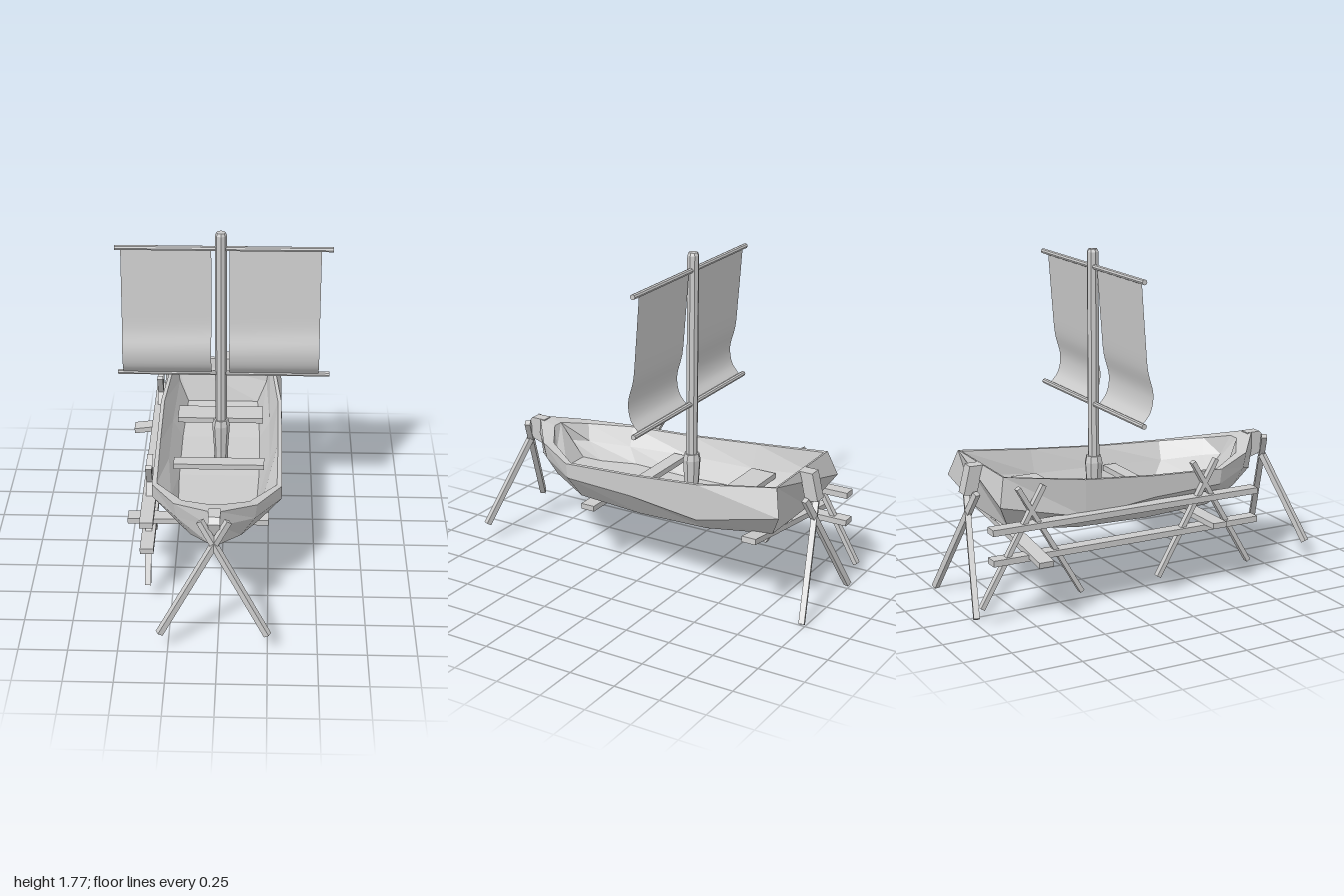
import * as THREE from 'three';

const CX = -0.02; // centre line of the boat

export function createModel() {
  const model = new THREE.Group();
  const mat = new THREE.MeshStandardMaterial({ color: 0xcccccc, flatShading: true, side: THREE.DoubleSide });
  const smooth = new THREE.MeshStandardMaterial({ color: 0xcccccc, side: THREE.DoubleSide });

  const add = (name, geometry, x = 0, y = 0, z = 0, material = mat) => {
    const mesh = new THREE.Mesh(geometry, material);
    mesh.name = name;
    mesh.position.set(x, y, z);
    model.add(mesh);
    return mesh;
  };

  // Square timber running between two points
  const bar = (name, from, to, w, h = w) => {
    const a = new THREE.Vector3(...from), b = new THREE.Vector3(...to);
    const mid = a.clone().add(b).multiplyScalar(0.5);
    const mesh = add(name, new THREE.BoxGeometry(w, h, a.distanceTo(b)), mid.x, mid.y, mid.z);
    mesh.lookAt(b);
    return mesh;
  };

  // Hull stations, stern to bow: half width, y, z of the
  // outer rim, chine, bottom, then inner rim, inner chine, floor
  const stations = [
    [[.285, .735, -.83], [.335, .595, -.87], [.20, .44, -.77], [.27, .73, -.815], [.25, .60, -.79], [.20, .49, -.75]],
    [[.335, .675, -.40], [.335, .48, -.40], [.23, .395, -.40], [.315, .675, -.40], [.27, .55, -.40], [.215, .45, -.40]],
    [[.335, .64, 0], [.335, .525, 0], [.23, .385, 0], [.315, .64, 0], [.27, .54, 0], [.215, .44, 0]],
    [[.335, .62, .40], [.335, .54, .39], [.22, .40, .38], [.31, .62, .385], [.24, .53, .36], [.205, .45, .30]],
    [[.21, .65, .63], [.20, .565, .62], [.13, .45, .60], [.17, .645, .59], [.13, .56, .56], [.125, .46, .48]],
    [[.025, .70, .78], [.025, .62, .785], [.025, .50, .765], [.03, .68, .68], [.07, .57, .64], [.08, .48, .57]],
  ];
  const positions = [], index = [], N = 12;
  for (const [rim, chine, bottom, inRim, inChine, floor] of stations) {
    const left = [rim, chine, bottom], right = [bottom, chine, rim];
    const inRight = [inRim, inChine, floor], inLeft = [floor, inChine, inRim];
    const put = (list, s) => list.forEach(([x, y, z]) => positions.push(CX + s * x, y, z));
    put(left, 1); put(right, -1); put(inRight, -1); put(inLeft, 1);
  }
  for (let i = 0; i < stations.length - 1; i++) {
    for (let j = 0; j < N; j++) {
      const a = i * N + j, b = i * N + (j + 1) % N;
      index.push(a, a + N, b, b, a + N, b + N);
    }
  }
  // Transom and bow: outer face, inner face and the rim between them
  const cap = (base, flip) => {
    const tri = (a, b, c) => flip ? index.push(base + a, base + c, base + b) : index.push(base + a, base + b, base + c);
    for (const s of [0, 6]) for (let k = 1; k < 5; k++) tri(s, s + k, s + k + 1);
    tri(0, 5, 6);
    tri(0, 6, 11);
  };
  cap(0, false);
  cap((stations.length - 1) * N, true);
  const hull = new THREE.BufferGeometry();
  hull.setAttribute('position', new THREE.Float32BufferAttribute(positions, 3));
  hull.setIndex(index);
  const hullFlat = hull.toNonIndexed();
  hullFlat.computeVertexNormals();
  add('hull', hullFlat);

  // Keel strip following the bottom
  const keelSide = new THREE.Shape([[-.77, .43], [-.4, .38], [0, .372], [.38, .385], [.6, .435], [.77, .50],
    [.6, .47], [.38, .42], [0, .41], [-.4, .42]].map(([z, y]) => new THREE.Vector2(-z, y)));
  const keel = new THREE.ExtrudeGeometry(keelSide, { depth: 0.05, bevelEnabled: false });
  keel.rotateY(Math.PI / 2);
  add('keel', keel, CX - 0.025);

  // Posts at bow and stern
  const post = (name, points, width) => {
    const shape = new THREE.Shape(points.map(([z, y]) => new THREE.Vector2(-z, y)));
    const g = new THREE.ExtrudeGeometry(shape, { depth: width, bevelEnabled: false });
    g.rotateY(Math.PI / 2);
    add(name, g, CX - width / 2);
  };
  post('bowPost', [[.75, .70], [.83, .70], [.855, .67], [.83, .58], [.77, .56]], 0.06);
  post('sternPost', [[-.83, .735], [-.90, .735], [-.935, .59], [-.865, .58]], 0.07);

  // Benches
  add('rearBench', new THREE.BoxGeometry(0.475, 0.03, 0.14), CX - 0.005, 0.55, -0.48);
  add('frontBench', new THREE.BoxGeometry(0.485, 0.03, 0.075), CX, 0.535, 0.037);

  // Mast with a chamfered head and a flared collar at its foot
  const mast = [[0, .44], [.036, .44], [.038, .5], [.048, .655], [.04, .69], [.031, .69], [.031, 1.765], [.024, 1.78], [0, 1.78]];
  add('mast', new THREE.LatheGeometry(mast.map(p => new THREE.Vector2(...p)), 8), -0.015, 0, -0.18);

  // Yards
  for (const [name, y] of [['upperYard', 1.69], ['lowerYard', 0.97]]) {
    add(name, new THREE.CylinderGeometry(0.014, 0.014, 1.13, 8).rotateZ(Math.PI / 2), 0, y, -0.182);
  }

  // Sails: a billowing curve swept across each side
  const belly = new THREE.CatmullRomCurve3([[1.69, -.182], [1.4, -.16], [1.24, -.145], [1.12, -.115], [1.03, -.13], [.97, -.178]]
    .map(([y, z]) => new THREE.Vector3(0, y, z)));
  for (const [name, x0, x1] of [['rightSail', -.535, -.065], ['leftSail', .03, .505]]) {
    const g = new THREE.PlaneGeometry(x1 - x0, 1, 1, 20);
    const p = g.attributes.position;
    for (let i = 0; i < p.count; i++) {
      const q = belly.getPoint(0.5 - p.getY(i));
      p.setXYZ(i, p.getX(i) + (x0 + x1) / 2, q.y, q.z);
    }
    g.computeVertexNormals();
    add(name, g, 0, 0, 0, smooth);
  }

  // Crossed legs under bow and stern
  for (const s of [1, -1]) {
    bar('bowLeg', [CX + s * 0.27, 0.11, 0.985], [CX - s * 0.07, 0.68, 0.835], 0.03);
    bar('sternLeg', [CX + s * 0.27, 0.015, -0.982], [CX - s * 0.07, 0.60, -0.882], 0.03);
  }

  // Trestles beside the hull, with two long rails
  for (const z of [0.28, -0.715]) {
    for (const s of [1, -1]) {
      bar('trestleLeg', [-0.375, 0.10, z + s * 0.275], [-0.375, 0.69, z - s * 0.07], 0.032, 0.024);
    }
  }
  for (const [name, y] of [['upperRail', 0.49], ['lowerRail', 0.333]]) {
    add(name, new THREE.BoxGeometry(0.07, 0.032, 1.525), -0.375, y, -0.172);
  }

  // Cross beams under the hull
  add('frontCrossBeam', new THREE.BoxGeometry(0.74, 0.03, 0.08), -0.12, 0.363, 0.31);
  const rear = add('rearCrossBeam', new THREE.BoxGeometry(0.855, 0.03, 0.08), -0.105, 0.385, -0.705);
  rear.rotation.z = 0.13;

  return model;
}
